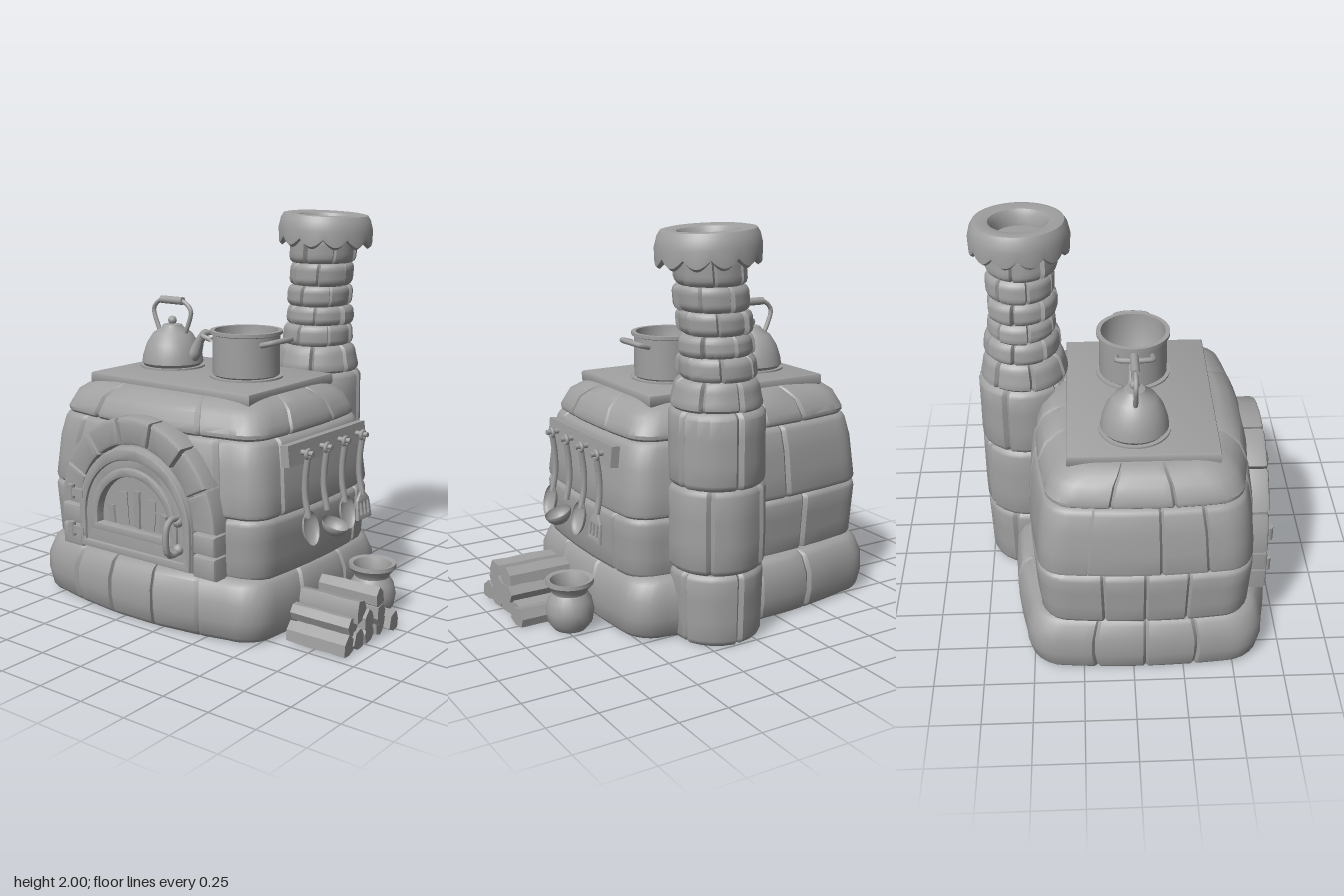
import * as THREE from 'three';
import { toCreasedNormals } from 'three/addons/utils/BufferGeometryUtils.js';

const V = (x, y, z) => new THREE.Vector3(x, y, z);
const stone = new THREE.MeshStandardMaterial({ color: 0xa0a0a0, side: THREE.DoubleSide });
stone.name = 'plain grey';

let seed = 7;
const rand = () => (seed = (seed * 16807) % 2147483647) / 2147483647;

function add(parent, name, geo, x = 0, y = 0, z = 0) {
  const m = new THREE.Mesh(geo, stone);
  m.name = name;
  m.position.set(x, y, z);
  parent.add(m);
  return m;
}
function group(parent, name, x = 0, y = 0, z = 0) {
  const g = new THREE.Group();
  g.name = name;
  g.position.set(x, y, z);
  parent.add(g);
  return g;
}

// Skin over closed rings of equal length, capped at both ends
function loft(rings) {
  const n = rings[0].length, pts = rings.flat(), idx = [];
  for (let j = 0; j < rings.length - 1; j++) for (let i = 0; i < n; i++) {
    const a = j * n + i, b = j * n + (i + 1) % n;
    idx.push(a, b, b + n, a, b + n, a + n);
  }
  for (const [j, flip] of [[0, true], [rings.length - 1, false]]) {
    const c = pts.length;
    pts.push(rings[j].reduce((s, p) => s.add(p), V(0, 0, 0)).divideScalar(n));
    for (let i = 0; i < n; i++) {
      const a = j * n + i, b = j * n + (i + 1) % n;
      idx.push(c, flip ? b : a, flip ? a : b);
    }
  }
  const g = new THREE.BufferGeometry().setFromPoints(pts);
  g.setIndex(idx);
  return toCreasedNormals(g, 0.6);
}

// Linear interpolation in a table of [y, ...values]
function sample(table, y) {
  let i = 1;
  while (i < table.length - 1 && table[i][0] < y) i++;
  const a = table[i - 1], b = table[i];
  const t = THREE.MathUtils.clamp((y - a[0]) / (b[0] - a[0]), 0, 1);
  return a.slice(1).map((v, k) => v + (b[k + 1] - v) * t);
}

// Heights and insets of one course, with softened top and bottom edges
const courseRows = (y0, y1, d) => [[y0, d], [y0 + 0.012, d * 0.3], [y0 + 0.03, 0], [y0 + (y1 - y0) * 0.35, 0],
  [y0 + (y1 - y0) * 0.65, 0], [y1 - 0.03, 0], [y1 - 0.012, d * 0.3], [y1, d]];

// Rounded rectangle ring; seams holds four lists of joints, one for each side
function blockRing(y, hx, hz, r, bulge, inset, seams) {
  const out = [];
  for (let s = 0; s < 4; s++) {
    const a = s * Math.PI / 2, n = V(Math.sin(a), 0, Math.cos(a)), t = V(Math.cos(a), 0, -Math.sin(a));
    const bl = s % 2 ? 0.02 : bulge;
    const D = (s % 2 ? hx - 0.02 : hz - bulge), L = (s % 2 ? hz - bulge : hx - 0.02) - r;
    const cols = [-1, -0.75, -0.25, 0.25, 0.75, 1].map(u => [u, 0]);
    for (const u of seams[s]) cols.push([u - 0.035, 0], [u, 0.018], [u + 0.035, 0]);
    cols.sort((p, q) => p[0] - q[0]);
    for (const [u, g] of cols)
      out.push(V(0, y, 0).addScaledVector(n, D + bl * (1 - u * u) - inset - g).addScaledVector(t, u * L));
    for (let k = 1; k < 6; k++) {
      const c = k * Math.PI / 12;
      out.push(V(0, y, 0).addScaledVector(n, D - r + (r - inset) * Math.cos(c))
        .addScaledVector(t, L + (r - inset) * Math.sin(c)));
    }
  }
  return out;
}
function blockCourse(y0, y1, profile, r, bulge, seams) {
  return loft(courseRows(y0, y1, 0.022).map(([y, d]) => blockRing(y, ...sample(profile, y), r, bulge, d, seams)));
}

// Ring of bricks around a leaning column
function brickCourse(y0, y1, path, count, turn, rough) {
  const cols = [];
  for (let b = 0; b < count; b++) {
    const j = (rand() - 0.5) * rough, w = Math.PI * 2 / count;
    for (const [f, g] of [[0, 0.02], [0.07, 0], [0.3, 0], [0.5, 0], [0.7, 0], [0.93, 0]])
      cols.push([turn + (b + f) * w, g ? -g : j]);
  }
  return loft(courseRows(y0, y1, 0.02).map(([y, d]) => {
    const [x, z, r] = sample(path, y);
    return cols.map(([a, o]) => V(x + Math.sin(a) * (r + o - d), y, z + Math.cos(a) * (r + o - d)));
  }));
}

function archShape(w, y0, spring) {
  const s = new THREE.Shape();
  s.moveTo(-w, y0).lineTo(w, y0).lineTo(w, spring).absarc(0, spring, w, 0, Math.PI, false);
  return s.closePath();
}
const extrude = (shape, depth, bevel = 0.01) => toCreasedNormals(new THREE.ExtrudeGeometry(shape, {
  depth: depth - bevel * 2, bevelEnabled: true, bevelSize: bevel, bevelOffset: -bevel,
  bevelThickness: bevel, bevelSegments: 2, curveSegments: 20 }).translate(0, 0, bevel), 0.6);
const tube = (pts, r, sides = 8) =>
  new THREE.TubeGeometry(new THREE.CatmullRomCurve3(pts.map(p => V(...p))), 24, r, sides);
const lathe = (pts, seg = 32) =>
  toCreasedNormals(new THREE.LatheGeometry(pts.map(p => new THREE.Vector2(...p)), seg), 0.7);
const box = (w, h, d) => new THREE.BoxGeometry(w, h, d);

function buildOvenBody(root) {
  const g = group(root, 'ovenBody', -0.185, 0, 0.06);
  const base = [[0, 0.735, 0.64], [0.06, 0.75, 0.66], [0.16, 0.757, 0.67], [0.25, 0.745, 0.655], [0.31, 0.71, 0.62]];
  add(g, 'baseStones', blockCourse(0, 0.31, base, 0.17, 0.07, [[-0.7, -0.24, 0.25, 0.74], [-0.5, 0.4], [-0.65, -0.1, 0.45], [-0.6, 0, 0.6]]));
  const wall = [[0.3, 0.715, 0.565], [0.6, 0.73, 0.582], [0.85, 0.705, 0.56], [1, 0.67, 0.53], [1.08, 0.635, 0.495], [1.14, 0.56, 0.42]];
  add(g, 'lowerWall', blockCourse(0.29, 0.6, wall, 0.15, 0.05, [[-0.88, 0.9], [0.85], [-0.6, 0, 0.5], [-0.55, 0, 0.55]]));
  add(g, 'middleWall', blockCourse(0.6, 0.97, wall, 0.15, 0.05, [[-0.85, 0.85], [-0.88], [-0.75, -0.2, 0.3], [-0.75, 0.2, 0.8]]));
  add(g, 'upperWall', blockCourse(0.97, 1.14, wall, 0.15, 0.05, [[-0.68, 0.65], [-0.6, 0.5], [-0.5, 0.1, 0.6], [-0.5, 0.4]]));

  // Hob plate with two burner rings
  const r = new THREE.Shape([[-0.52, -0.365], [0.52, -0.365], [0.52, 0.365], [-0.52, 0.365]].map(p => new THREE.Vector2(...p)));
  add(root, 'hobPlate', extrude(r, 0.06, 0.012).rotateX(-Math.PI / 2), -0.18, 1.115, 0.055);
  for (const [x, z, rad] of [[-0.475, 0.02, 0.175], [0.035, 0.035, 0.19]])
    add(root, 'burner', new THREE.CylinderGeometry(rad, rad, 0.012, 32), x, 1.178, z);
}

function buildChimney(root) {
  const g = group(root, 'chimney');
  const path = [[0, 0.1, -0.53, 0.225], [0.5, 0.1, -0.53, 0.24], [1.12, 0.1, -0.53, 0.235], [1.2, 0.1, -0.525, 0.215],
    [1.3, 0.1, -0.53, 0.192], [1.5, 0.112, -0.525, 0.175], [1.88, 0.148, -0.52, 0.178]];
  [0, 0.36, 0.78, 1.15].forEach((y, i, a) => i && add(g, 'flueStones', brickCourse(a[i - 1], y, path, 5, i * 0.6, 0.008)));
  [1.15, 1.29, 1.4, 1.5, 1.61, 1.73, 1.88].forEach((y, i, a) =>
    i && add(g, 'brickCourse', brickCourse(a[i - 1], y, path, 7, i * 0.45, 0.022)));
  // Scalloped cap with a shallow opening
  const rows = [[0.16, 1.88, 0], [0.235, 1.862, 1], [0.25, 1.868, 0.85], [0.252, 1.91, 0], [0.24, 1.96, 0], [0.225, 1.985, 0],
    [0.2, 1.99, 0], [0.15, 1.98, 0], [0.13, 1.95, 0], [0.125, 1.9, 0]];
  add(g, 'chimneyCap', loft(rows.map(([r, y, s]) => Array.from({ length: 96 }, (_, i) => {
    const a = i * Math.PI / 48, x = Math.sin(a) * r;
    return V(0.148 + x, y - x * 0.05 - s * 0.045 * Math.abs(Math.sin(a * 6)), -0.52 + Math.cos(a) * r);
  }))));
}

function buildDoor(root) {
  const g = group(root, 'ovenDoor', -0.175, 0, 0);
  // Arch stones and jambs
  for (let i = 0; i < 7; i++) {
    const a = i * Math.PI / 7 + 0.012, b = (i + 1) * Math.PI / 7 - 0.012, s = new THREE.Shape();
    s.absarc(0, 0.53, 0.505, a, b, false).absarc(0, 0.53, 0.37, b, a, true);
    add(g, 'archStone', extrude(s.closePath(), 0.2, 0.018), 0, 0, 0.475 + rand() * 0.012);
  }
  for (const sx of [-1, 1]) for (const [y0, y1] of [[0.305, 0.415], [0.425, 0.525]]) {
    const s = new THREE.Shape([[0.37, y0], [0.505, y0], [0.505, y1], [0.37, y1]].map(p => new THREE.Vector2(p[0] * sx, p[1])));
    add(g, 'jambStone', extrude(s, 0.2, 0.018), 0, 0, 0.48);
  }
  // Door leaf, raised rims and window
  const ring = (w, y0, iw, iy, spring = 0.52) => {
    const s = archShape(w, y0, spring);
    s.holes.push(archShape(iw, iy, 0.5));
    return s;
  };
  add(g, 'doorLeaf', extrude(ring(0.37, 0.32, 0.24, 0.47), 0.07), 0, 0, 0.61);
  add(g, 'outerRim', extrude(ring(0.365, 0.325, 0.325, 0.365), 0.06), 0, 0, 0.635);
  add(g, 'windowFrame', extrude(ring(0.285, 0.43, 0.24, 0.47, 0.5), 0.06), 0, 0, 0.635);
  add(g, 'windowBack', new THREE.ShapeGeometry(archShape(0.245, 0.465, 0.5)), 0, 0, 0.648);
  [[-0.17, 0.09], [-0.09, 0.17], [0, 0.19], [0.09, 0.16], [0.17, 0.1]].forEach(([x, h], i) => {
    const m = add(g, 'windowSlat', box(0.05, h, 0.012), x, 0.475 + h / 2, 0.655);
    m.rotation.set(0, 0.3 * (i % 2 ? 1 : -1), -x * 0.7);
  });
  // Handle and hinges
  add(g, 'doorHandle', tube([[0, 0.42, 0.67], [0, 0.415, 0.74], [0, 0.44, 0.77], [0, 0.56, 0.77], [0, 0.59, 0.74], [0, 0.585, 0.67]], 0.016), 0.29);
  for (const y of [0.43, 0.57]) add(g, 'handleMount', new THREE.SphereGeometry(0.028, 12, 8), 0.29, y, 0.685);
  for (const y of [0.4, 0.6]) {
    add(g, 'hingeStrap', box(0.1, 0.04, 0.03), -0.385, y, 0.685);
    add(g, 'hingePin', new THREE.CylinderGeometry(0.02, 0.02, 0.075, 10), -0.425, y, 0.69);
  }
}

function buildCookware(root) {
  const k = group(root, 'kettle', -0.475, 1.18, 0.02);
  add(k, 'kettleBody', lathe([[0, 0], [0.15, 0], [0.166, 0.02], [0.16, 0.06], [0.14, 0.12], [0.105, 0.175], [0.06, 0.205], [0.05, 0.22], [0, 0.23]]));
  add(k, 'lidKnob', new THREE.SphereGeometry(0.024, 12, 8), 0, 0.242, 0);
  const spout = [[0.12, 0.05, 0.045], [0.165, 0.09, 0.034], [0.19, 0.15, 0.024], [0.225, 0.195, 0.022], [0.24, 0.205, 0.018]];
  add(k, 'spout', loft(spout.map(([x, y, r]) => Array.from({ length: 12 }, (_, i) => {
    const a = i * Math.PI / 6;
    return V(x + Math.sin(a) * r * 0.85, y - Math.sin(a) * r * 0.5, Math.cos(a) * r);
  }))));
  add(k, 'kettleHandle', tube([[-0.09, 0.18, 0], [-0.12, 0.25, 0], [-0.13, 0.3, 0], [-0.085, 0.345, 0], [0, 0.352, 0],
    [0.085, 0.345, 0], [0.13, 0.3, 0], [0.12, 0.25, 0], [0.09, 0.18, 0]], 0.012));
  add(k, 'handleGrip', new THREE.CylinderGeometry(0.021, 0.021, 0.15, 12).rotateZ(Math.PI / 2), 0, 0.35, 0);

  const p = group(root, 'cookingPot', 0.035, 1.18, 0.035);
  add(p, 'potBody', lathe([[0, 0], [0.16, 0], [0.174, 0.012], [0.174, 0.215], [0.188, 0.22], [0.188, 0.237], [0.165, 0.237], [0.162, 0.04], [0.15, 0.025], [0, 0.025]]));
  for (const s of [-1, 1])
    add(p, 'potHandle', tube([[0.16 * s, 0.18, -0.09], [0.215 * s, 0.195, -0.09], [0.232 * s, 0.2, -0.05], [0.232 * s, 0.2, 0.05], [0.215 * s, 0.195, 0.09], [0.16 * s, 0.18, 0.09]], 0.014));
}

function buildUtensils(root) {
  const g = group(root, 'utensilRack');
  add(g, 'rackBoard', box(0.045, 0.105, 0.69), 0.53, 0.895, 0.045).rotation.z = 0.1;
  const bowl = () => new THREE.SphereGeometry(1, 20, 8, 0, Math.PI * 2, Math.PI / 2, Math.PI / 2);
  [0.28, 0.115, -0.05, -0.215].forEach((z, i) => {
    const u = group(g, ['spoon', 'ladle', 'spoon', 'spatula'][i], 0, 0, z);
    add(u, 'peg', new THREE.CylinderGeometry(0.013, 0.013, 0.08, 10).rotateZ(Math.PI / 2), 0.58, 0.9, 0);
    add(u, 'hangingLoop', new THREE.TorusGeometry(0.02, 0.01, 8, 16).rotateY(Math.PI / 2), 0.59, 0.895, 0);
    add(u, 'handle', tube([[0.588, 0.88, 0], [0.575, 0.78, 0], [0.575, 0.68, 0], [0.595, 0.58, 0]], 0.016)).scale.set(1, 1, 1);
    if (i === 3) {
      const s = new THREE.Shape([[-0.065, 0], [0.065, 0], [0.055, 0.1], [0.02, 0.14], [-0.02, 0.14], [-0.055, 0.1]].map(q => new THREE.Vector2(...q)));
      for (const x of [-0.034, 0, 0.034])
        s.holes.push(new THREE.Path([[x - 0.008, 0.025], [x + 0.008, 0.025], [x + 0.008, 0.09], [x - 0.008, 0.09]].map(q => new THREE.Vector2(...q))));
      add(u, 'spatulaBlade', extrude(s, 0.016, 0.003).rotateY(Math.PI / 2), 0.6, 0.455, 0).rotation.z = 0.12;
    } else {
      const b = add(u, 'bowl', bowl(), i === 1 ? 0.645 : 0.615, i === 1 ? 0.52 : 0.53, 0);
      b.scale.set(i === 1 ? 0.07 : 0.085, i === 1 ? 0.065 : 0.035, 0.064);
      b.rotation.z = i === 1 ? -0.35 : -1.35;
    }
  });
}

function buildFloorItems(root) {
  // Split logs stacked with their ends outward
  const g = group(root, 'logPile');
  const spots = [[0.41, 0.04], [0.31, 0.045], [0.21, 0.04], [0.11, 0.045], [0.01, 0.035], [0.36, 0.125], [0.25, 0.125], [0.14, 0.12], [0.31, 0.185], [0.15, 0.205]];
  spots.forEach(([z, y], i) => {
    const radii = Array.from({ length: 6 }, () => 0.045 + rand() * 0.02), dx = rand() * 0.03;
    const rings = [[0.57, 0.9], [0.7, 1], [0.82, 0.94], [0.905, 1]].map(([x, s]) => radii.map((r, k) => {
      const a = k * Math.PI / 3 + i * 0.7;
      return V(x + dx + Math.sin(a) * 0.008, Math.max(0.001, y + Math.cos(a) * r * s), z + Math.sin(a) * r * s);
    }));
    const geo = loft(rings.map(r => r.reverse()));
    add(g, 'log', geo);
  });
  // Round jar with a flared lip
  add(root, 'jar', lathe([[0, 0], [0.08, 0], [0.112, 0.04], [0.122, 0.1], [0.11, 0.155], [0.088, 0.19], [0.092, 0.205], [0.122, 0.24],
    [0.12, 0.26], [0.098, 0.255], [0.08, 0.2], [0.08, 0.18], [0, 0.17]], 24), 0.71, 0, -0.14);
}

export function createModel() {
  const root = new THREE.Group();
  root.name = 'stoneOven';
  seed = 7;
  for (const build of [buildOvenBody, buildChimney, buildDoor, buildCookware, buildUtensils, buildFloorItems]) build(root);
  return root;
}
